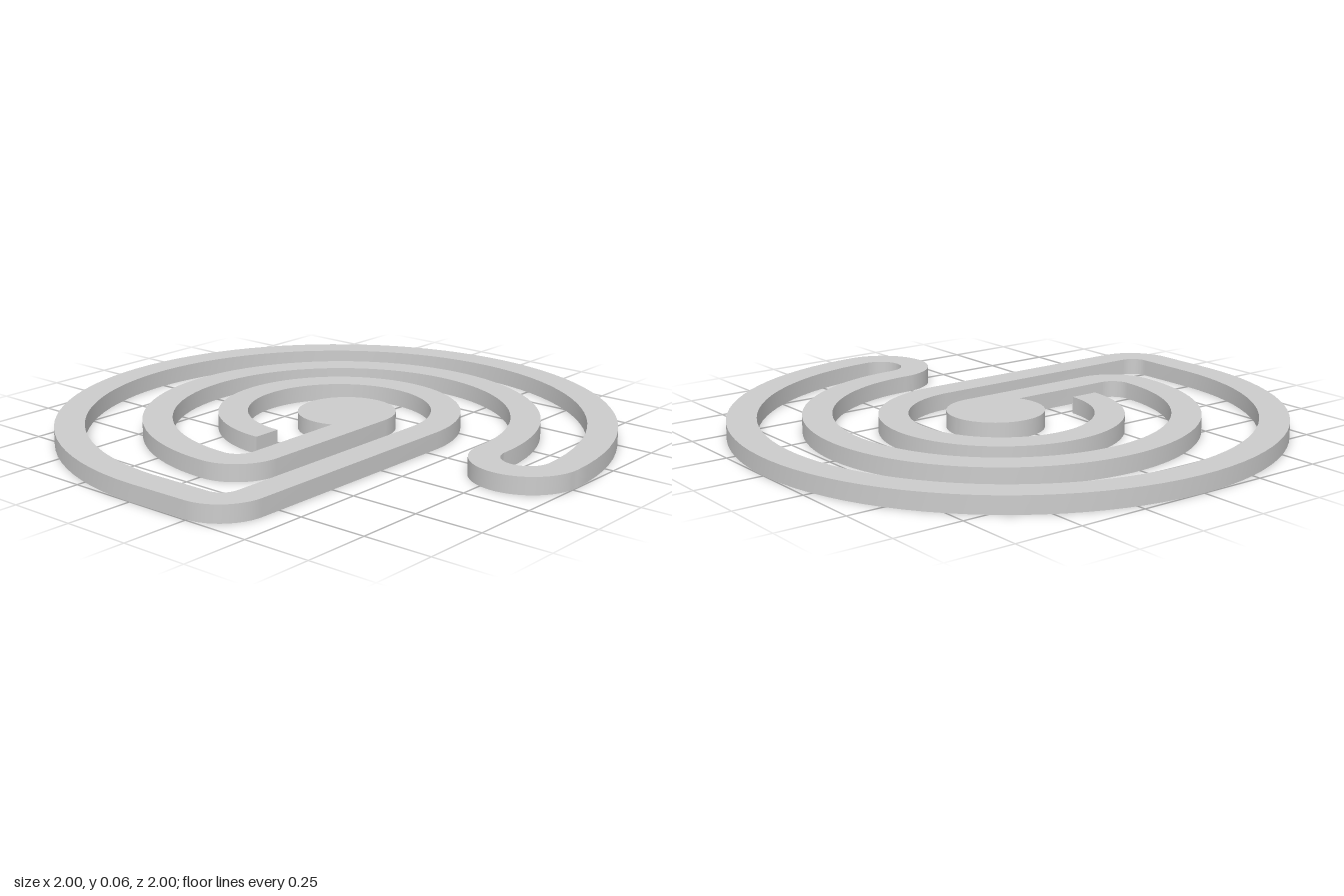
import * as THREE from 'three';
import { toCreasedNormals } from 'three/addons/utils/BufferGeometryUtils.js';

const HEIGHT = 0.062;
const HALF_WIDTH = 0.0535;

// Points along an arc; angles in degrees, plan coordinates (x, back)
function arc(cx, cy, r, from, to) {
  const n = Math.max(2, Math.ceil(Math.abs(to - from) / 4));
  return Array.from({ length: n + 1 }, (_, i) => {
    const a = THREE.MathUtils.degToRad(from + (to - from) * i / n);
    return new THREE.Vector2(cx + r * Math.cos(a), cy + r * Math.sin(a));
  });
}

// Centre line of the channel: arcs joined by straight runs
const path = [
  [-0.025, 0.048, 0.385, -90, -360],  // inner ring, from its free end
  [0.24, -0.825, 0.117, 0, -90],      // outer front corner
  [0, 0, 0.9465, -90, -358.7],        // outer ring
  [0.806, 0.022, 0.14, 0, -180],      // hairpin bend
  [0.007, 0.022, 0.659, 0, 270],      // middle ring
  [0.01, -0.515, 0.122, -90, 0],      // inner front corner
];

// One edge of the channel: side is +1 for left of travel, -1 for right
function edge(side) {
  return path.flatMap(([cx, cy, r, from, to]) =>
    arc(cx, cy, r - side * Math.sign(to - from) * HALF_WIDTH, from, to));
}

// Side wall around a counter-clockwise outline, open at the bottom
function wallGeometry(outline) {
  const positions = [];
  const index = [];
  const n = outline.length;
  outline.forEach((p, i) => {
    positions.push(p.x, 0, -p.y, p.x, HEIGHT, -p.y);
    const a = 2 * i, b = 2 * ((i + 1) % n);
    index.push(a, b, b + 1, a, b + 1, a + 1);
  });
  const geometry = new THREE.BufferGeometry();
  geometry.setAttribute('position', new THREE.Float32BufferAttribute(positions, 3));
  geometry.setIndex(index);
  return toCreasedNormals(geometry, Math.PI / 6);
}

export function createModel() {
  const model = new THREE.Group();
  model.name = 'spiralChannel';
  const material = new THREE.MeshStandardMaterial({ color: 0xcccccc, side: THREE.DoubleSide });

  // Left edge, round central pad, then back along the right edge
  const pad = arc(0.01, 0.048, 0.177, -67, -360);
  const outline = [...edge(1), ...pad, ...edge(-1).reverse()].reverse();

  const top = new THREE.Mesh(new THREE.ShapeGeometry(new THREE.Shape(outline)), material);
  top.geometry.rotateX(-Math.PI / 2).translate(0, HEIGHT, 0);
  top.name = 'topPlate';

  const wall = new THREE.Mesh(wallGeometry(outline), material);
  wall.name = 'sideWall';

  model.add(top, wall);
  return model;
}
